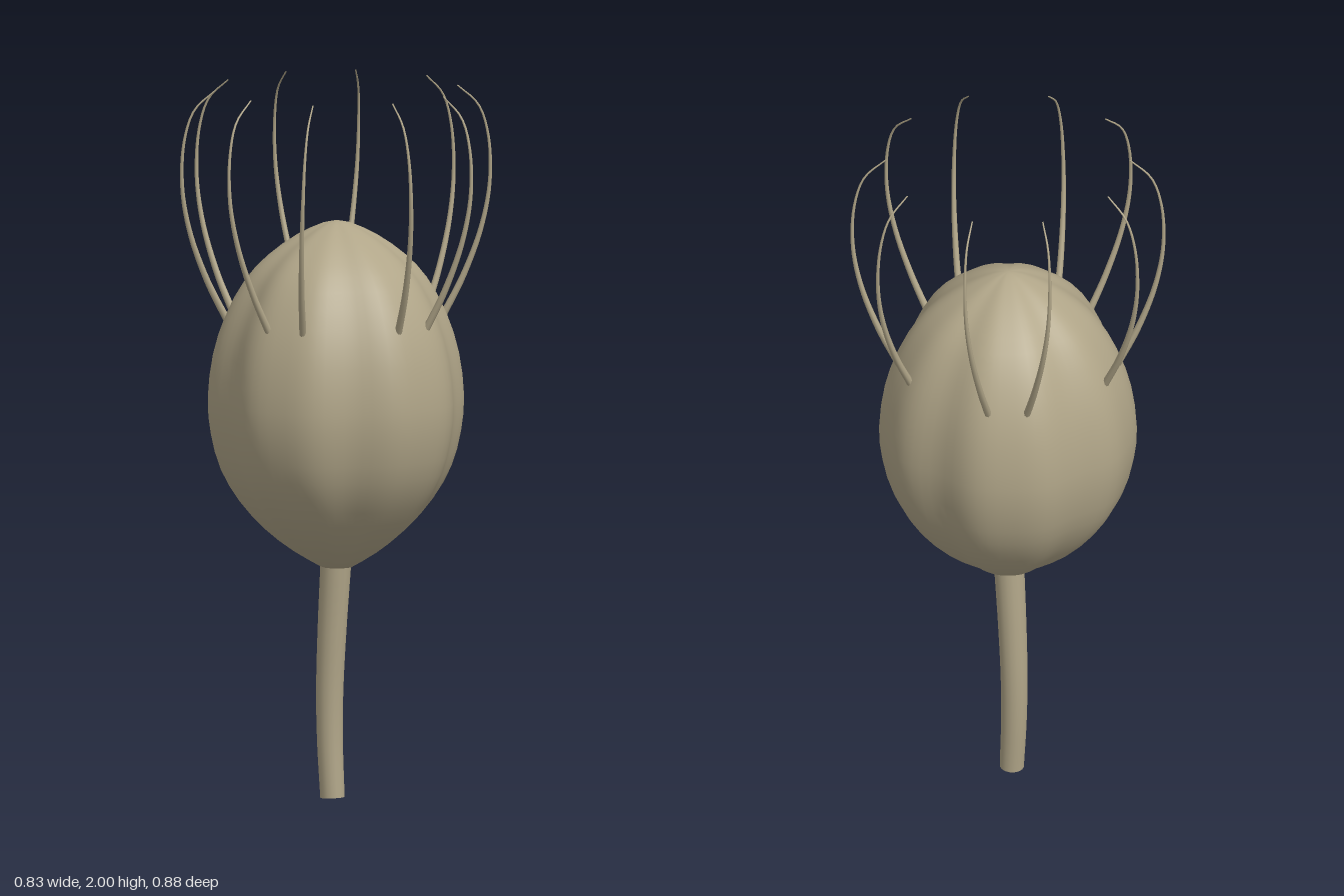
import * as THREE from 'three';
import { mergeVertices } from 'three/addons/utils/BufferGeometryUtils.js';

const material = new THREE.MeshStandardMaterial({ color: 0xb0a588, roughness: 0.9, side: THREE.DoubleSide });

function addMesh(parent, geometry, name) {
  const mesh = new THREE.Mesh(geometry, material);
  mesh.name = name;
  parent.add(mesh);
  return mesh;
}

// Tube along a smooth path whose radius follows radiusAt(t)
function taperedTube(points, segments, sides, radiusAt) {
  const path = new THREE.CatmullRomCurve3(points.map((p) => new THREE.Vector3(...p)));
  const geometry = new THREE.TubeGeometry(path, segments, 1, sides);
  const pos = geometry.attributes.position;
  const v = new THREE.Vector3();
  for (let i = 0; i < pos.count; i++) {
    const t = Math.floor(i / (sides + 1)) / segments;
    const centre = path.getPointAt(t);
    v.fromBufferAttribute(pos, i).sub(centre).multiplyScalar(radiusAt(t)).add(centre);
    pos.setXYZ(i, v.x, v.y, v.z);
  }
  return geometry;
}

// Lathed pod with five broad, flat-topped lobes
function podGeometry() {
  const outline = new THREE.SplineCurve([
    [0.045, 0.655], [0.12, 0.7], [0.195, 0.76], [0.265, 0.84], [0.316, 0.93], [0.343, 1.03], [0.351, 1.13],
    [0.337, 1.25], [0.303, 1.36], [0.25, 1.46], [0.19, 1.527], [0.115, 1.583], [0.04, 1.62], [0, 1.627],
  ].map((p) => new THREE.Vector2(...p)));
  const profile = [new THREE.Vector2(0, 0.65), ...outline.getPoints(26)];
  profile[profile.length - 1].x = 0;
  const lathe = new THREE.LatheGeometry(profile, 80);
  const pos = lathe.attributes.position;
  for (let i = 0; i < pos.count; i++) {
    const a = Math.atan2(pos.getZ(i), pos.getX(i));
    const k = 1 + 0.034 * Math.cos(5 * a) - 0.017 * Math.cos(10 * a);
    pos.setX(i, pos.getX(i) * k);
    pos.setZ(i, pos.getZ(i) * k);
  }
  lathe.deleteAttribute('uv');
  lathe.deleteAttribute('normal');
  const geometry = mergeVertices(lathe);
  geometry.computeVertexNormals();
  return geometry;
}

export function createModel() {
  const model = new THREE.Group();
  model.name = 'bristledSeedPod';
  const plant = new THREE.Group();
  plant.name = 'plant';
  plant.position.x = -0.005;
  model.add(plant);

  addMesh(plant, podGeometry(), 'pod');

  // Gently bent stem, a little wider where it meets the pod
  const stemPath = [[-0.018, 0.003, 0], [-0.028, 0.16, 0], [-0.029, 0.3, 0], [-0.02, 0.47, 0], [-0.004, 0.67, 0]];
  addMesh(plant, taperedTube(stemPath, 20, 16, (t) => 0.034 + 0.009 * t), 'stem');
  const cut = addMesh(plant, new THREE.CircleGeometry(0.034, 16), 'stemEnd');
  cut.rotation.set(Math.PI / 2, 0.06, 0);
  cut.position.set(-0.018, 0.003, 0);

  // A mirrored pair of curling bristles on each lobe
  const bristlePath = [
    [0.3, 1.345, 0.053], [0.353, 1.46, 0.077], [0.398, 1.6, 0.101], [0.417, 1.73, 0.115],
    [0.41, 1.86, 0.118], [0.382, 1.945, 0.113], [0.325, 2, 0.098],
  ];
  for (let lobe = 0; lobe < 5; lobe++) {
    const pair = new THREE.Group();
    pair.name = 'bristlePair' + (lobe + 1);
    pair.rotation.y = (lobe * Math.PI * 2) / 5;
    plant.add(pair);
    for (const side of [1, -1]) {
      const points = bristlePath.map(([x, y, z]) => [x, y, z * side]);
      addMesh(pair, taperedTube(points, 32, 8, (t) => 0.0105 - 0.0085 * t), 'bristle');
      addMesh(pair, new THREE.SphereGeometry(0.0105, 8, 6), 'bristleRoot').position.set(...points[0]);
    }
  }
  return model;
}
